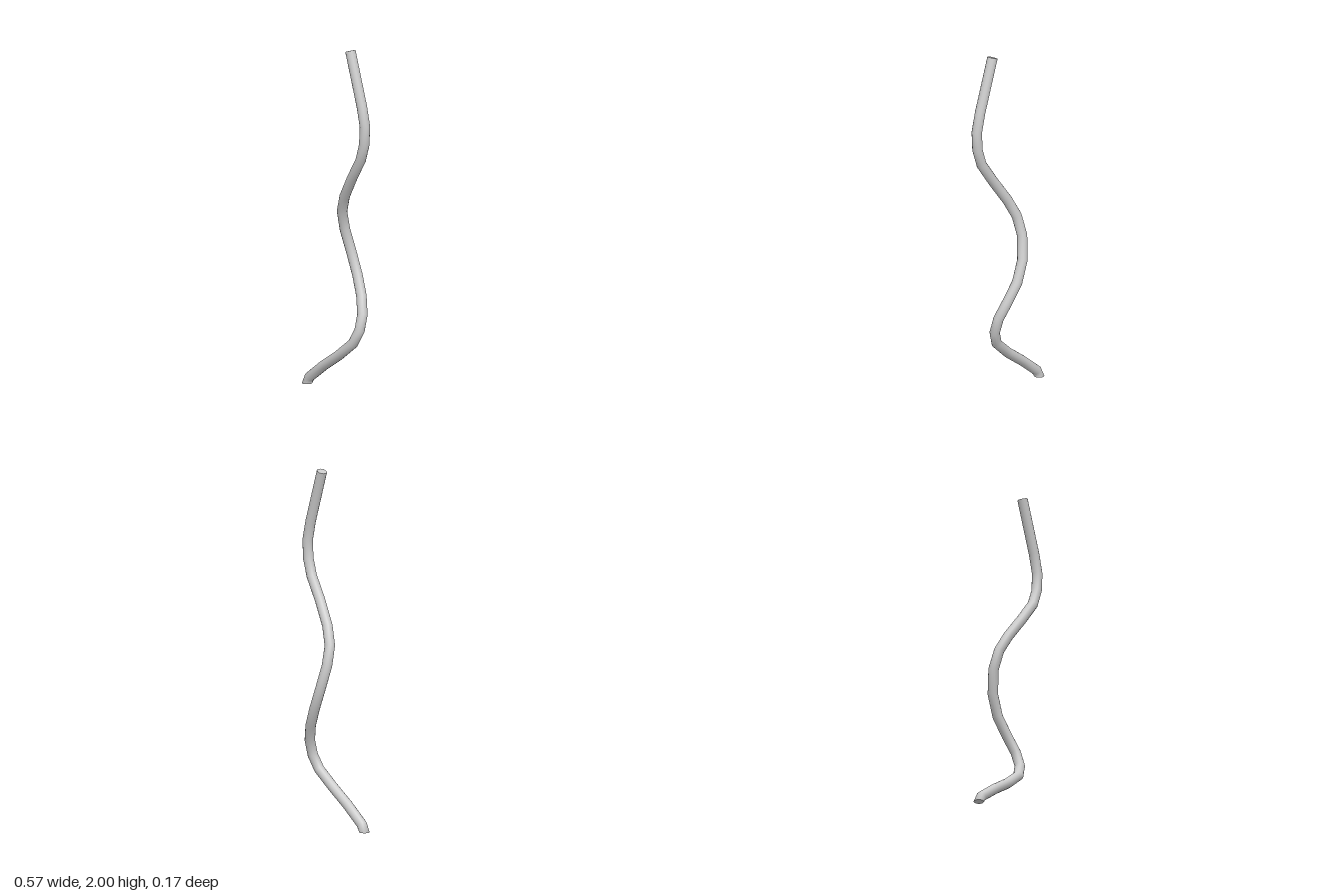
import * as THREE from 'three';

const RADIUS = 0.029;
const SIDES = 14;

// Centre line of the rod, one ring of vertices per point, bottom to top
const PATH = [
  [-0.255, 0, 0.058], [-0.233, 0.04, 0.058], [-0.11, 0.132, 0.054], [0.01, 0.212, 0.047],
  [0.118, 0.3, 0.033], [0.153, 0.378, 0.015], [0.148, 0.465, -0.01], [0.105, 0.56, -0.038],
  [0.047, 0.665, -0.057], [0, 0.785, -0.053], [-0.026, 0.92, -0.026], [-0.014, 1.03, 0.004],
  [0.037, 1.13, 0.027], [0.13, 1.26, 0.048], [0.215, 1.38, 0.057], [0.247, 1.475, 0.058],
  [0.253, 1.58, 0.058], [0.226, 1.69, 0.058], [0.125, 1.991, 0.058],
].map((p) => new THREE.Vector3(...p));

// Direction at each point; the foot is cut level with the ground
function tangentAt(i) {
  if (i === 0) return new THREE.Vector3(0, 1, 0);
  const a = PATH[i], b = PATH[i - 1], c = PATH[Math.min(i + 1, PATH.length - 1)];
  const before = a.clone().sub(b).normalize();
  return before.add(c.clone().sub(a).normalize()).normalize();
}

// Round sweep along the centre line
function sweepGeometry() {
  const positions = [], normals = [], indices = [];
  PATH.forEach((p, i) => {
    const t = tangentAt(i);
    const side = new THREE.Vector3().crossVectors(t, new THREE.Vector3(0, 0, 1)).normalize();
    const front = new THREE.Vector3().crossVectors(side, t);
    for (let j = 0; j <= SIDES; j++) {
      const a = (j / SIDES) * Math.PI * 2;
      const n = side.clone().multiplyScalar(Math.cos(a)).addScaledVector(front, Math.sin(a));
      normals.push(n.x, n.y, n.z);
      positions.push(...p.clone().addScaledVector(n, RADIUS).toArray());
      if (i > 0 && j > 0) {
        const d = i * (SIDES + 1) + j, c = d - 1, b = d - SIDES - 1, e = b - 1;
        indices.push(e, c, b, b, c, d);
      }
    }
  });
  const g = new THREE.BufferGeometry();
  g.setAttribute('position', new THREE.Float32BufferAttribute(positions, 3));
  g.setAttribute('normal', new THREE.Float32BufferAttribute(normals, 3));
  g.setIndex(indices);
  return g;
}

export function createModel() {
  const group = new THREE.Group();
  group.name = 'wavyRod';
  const material = new THREE.MeshStandardMaterial({ color: 0xcccccc, side: THREE.DoubleSide });

  const rod = new THREE.Mesh(sweepGeometry(), material);
  rod.name = 'rod';
  group.add(rod);

  // Flat discs closing both ends
  const last = PATH.length - 1;
  for (const [name, i, sign] of [['bottomCap', 0, -1], ['topCap', last, 1]]) {
    const cap = new THREE.Mesh(new THREE.CircleGeometry(RADIUS, SIDES), material);
    cap.name = name;
    cap.position.copy(PATH[i]);
    cap.quaternion.setFromUnitVectors(new THREE.Vector3(0, 0, 1), tangentAt(i).multiplyScalar(sign));
    group.add(cap);
  }
  return group;
}
